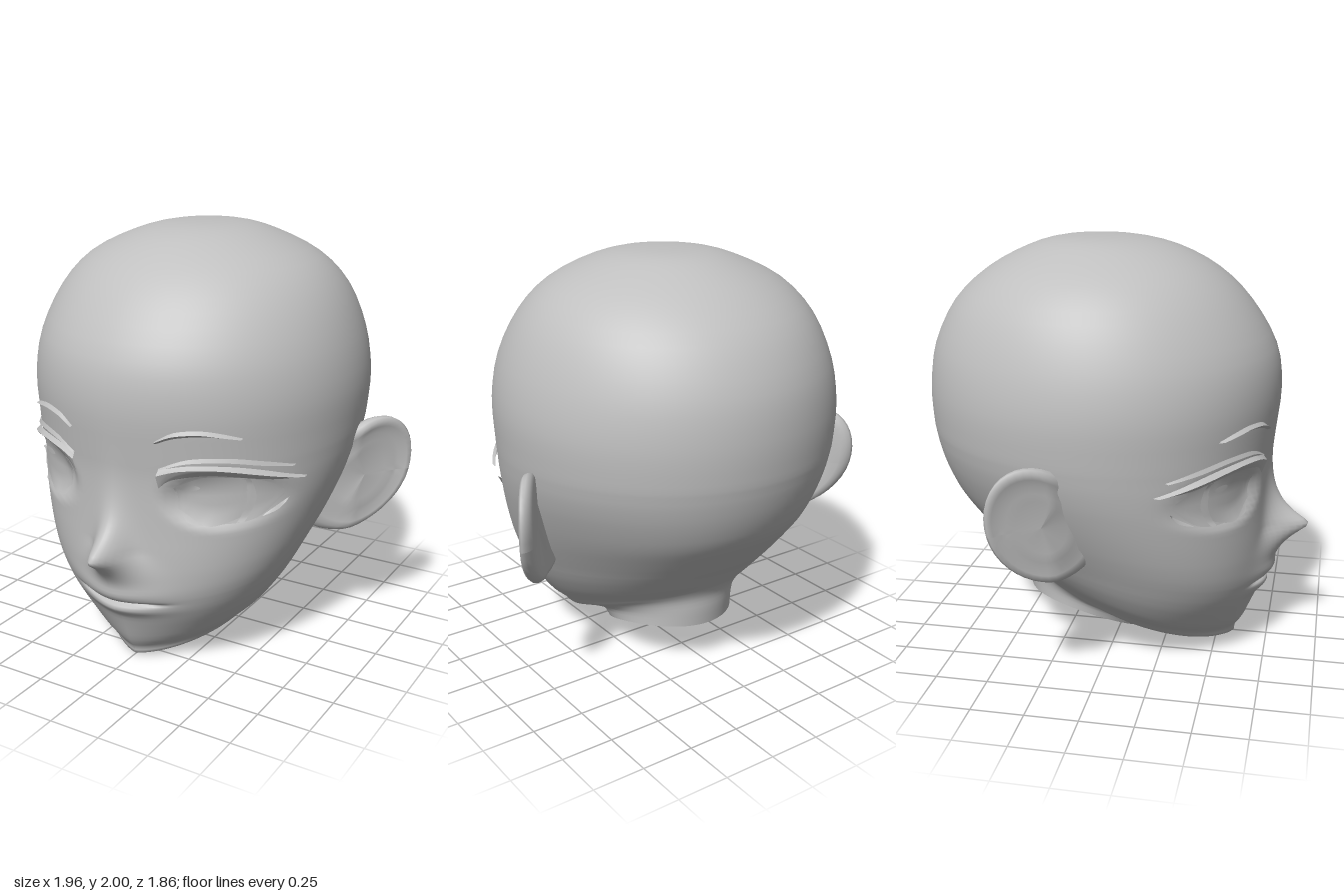
import * as THREE from 'three';

const skin = new THREE.MeshStandardMaterial({ color: 0xc0c0c0, side: THREE.DoubleSide });
skin.name = 'plain grey';

const bell = (d, s) => Math.exp(-(d * d) / (2 * s * s));

// Smooth profile through values given at even heights
function profile(start, step, values) {
  const curve = new THREE.SplineCurve(values.map((v, i) => new THREE.Vector2(i, v)));
  const span = step * (values.length - 1);
  return y => curve.getPoint(THREE.MathUtils.clamp((y - start) / span, 0, 1)).y;
}
const frontZ = profile(0, 0.1,
  [0.57, 0.63, 0.67, 0.705, 0.728, 0.735, 0.735, 0.733, 0.733, 0.735, 0.742, 0.755, 0.768]);
const backZ = profile(0.4, 0.1,
  [-0.495, -0.57, -0.66, -0.745, -0.82, -0.868, -0.9, -0.92, -0.93, -0.93]);
const halfWidth = profile(0.2, 0.1,
  [0.38, 0.49, 0.56, 0.613, 0.66, 0.70, 0.735, 0.765, 0.787, 0.80, 0.81, 0.81]);

// Head sections: front z, front y, back z, back y, half width
const neckRows = [
  [0.20, 0.03, -0.47, 0.22, 0.295], [0.28, 0.06, -0.48, 0.30, 0.305], [0.42, 0.035, -0.485, 0.37, 0.34]
];
const faceRows = [0, 0.04, 0.1, 0.2, 0.27, 0.31, 0.335, 0.355, 0.38, 0.43, 0.5, 0.56, 0.62, 0.68,
  0.75, 0.83, 0.92, 1.0, 1.1].map(fy => {
  const by = 0.42 + 0.65 * fy;
  return [frontZ(fy), fy, backZ(by), by, halfWidth((fy + by) / 2)];
});
const crownRows = [
  [0.775, 1.30, -0.93, 1.30, 0.81], [0.745, 1.50, -0.90, 1.50, 0.775],
  [0.625, 1.70, -0.80, 1.70, 0.69], [0.475, 1.845, -0.645, 1.845, 0.56],
  [0.29, 1.945, -0.46, 1.945, 0.36], [0.10, 1.992, -0.30, 1.992, 0.19], [-0.1, 2.0, -0.1, 2.0, 0]
];

// Nose, lips, mouth crease and recessed eyes, as a forward offset of the face
function relief(x, fy, y) {
  const ax = Math.abs(x), d = fy - 0.615;
  const nose = 0.2 * Math.exp(0.2 - Math.sqrt(d * d + 0.0004) / 0.1)
    * bell(x, 0.054 + 0.35 * Math.max(0, -d));
  const lips = (0.025 * bell(fy - 0.39, 0.03) + 0.025 * bell(fy - 0.305, 0.02)) * bell(x, 0.13);
  const crease = -0.032 * bell(fy - 0.345, 0.006) * Math.exp(-Math.pow(x / 0.2, 4));
  const r2 = ((ax - 0.465) / 0.215) ** 2 + ((y - 0.885) / 0.125) ** 2;
  const eye = -(0.055 - 0.07 * (ax - 0.28)) * Math.exp(-(r2 ** 4));
  return nose + lips + crease + eye;
}

function headGeometry() {
  const rows = [...neckRows, ...faceRows, ...crownRows];
  const columns = rows[0].map((_, c) =>
    new THREE.SplineCurve(rows.map((r, i) => new THREE.Vector2(i, r[c]))));
  const half = 60, around = half * 2, rings = (rows.length - 1) * 3;
  const pos = [], index = [];
  for (let i = 0; i <= rings; i++) {
    const row = i / 3;
    const [fz, fy, bz, by, w] = columns.map(c => c.getPoint(i / rings).y);
    // Pointed sections at the chin, full cheeks, round crown
    const power = 1.04 + 0.42 * (row < 3 ? bell(row - 3, 1.5) : bell(fy, 0.16));
    const cheek = 0.09 * bell(fy - 0.5, 0.35) * THREE.MathUtils.clamp((row - 2) / 3, 0, 1);
    const arch = 0.05 * Math.max(0, 1 - row / 3);
    for (let j = 0; j < around; j++) {
      const u = j / half - 1;
      const a = Math.sign(u) * Math.PI * Math.pow(Math.abs(u), 1.4);
      const c = Math.cos(a), s = Math.abs(Math.sin(a));
      const x = Math.sign(u) * Math.max(0, w) * Math.pow(s, c > 0 ? power : 1);
      const y = (fy + by) / 2 + (fy - by) / 2 * c + arch * s * s;
      let z = (fz + bz) / 2 + (fz - bz) / 2 * c + cheek * Math.pow(s, c > 0 ? 2 : 4);
      if (c > 0 && row > 4) z += relief(x, fy, y);
      pos.push(x, y, z);
      if (i < rings) {
        const k = i * around, n = (j + 1) % around;
        index.push(k + j, k + n, k + around + j, k + n, k + around + n, k + around + j);
      }
    }
  }
  const g = new THREE.BufferGeometry();
  g.setAttribute('position', new THREE.Float32BufferAttribute(pos, 3));
  g.setIndex(index);
  g.computeVertexNormals();
  return g;
}

// Ear: a lathed bowl with a rolled rim, sheared and flared away from the head
function earGeometry() {
  const outline = [[0, -0.012], [0.45, -0.012], [0.6, 0.002], [0.72, -0.004], [0.84, 0.014],
    [0.93, 0.016], [0.985, 0.004], [1, -0.016], [0.975, -0.038], [0.9, -0.052], [0.7, -0.056],
    [0, -0.056]];
  const g = new THREE.LatheGeometry(outline.map(p => new THREE.Vector2(...p)), 40);
  const p = g.attributes.position;
  for (let i = 0; i < p.count; i++) {
    const a = p.getX(i), h = p.getY(i), b = p.getZ(i);
    const z = -0.2 - 0.06 * a - 0.205 * b;
    // The front edge dives into the head
    const out = -0.15 - z;
    const flare = 0.8 + (out > 0 ? 0.65 : 1.3) * out - (a < 0 ? 0.05 * a * a : 0);
    p.setXYZ(i, flare + h, 0.825 + 0.285 * a, z);
  }
  g.computeVertexNormals();
  return g;
}

export function createModel() {
  const model = new THREE.Group();
  model.name = 'head model';
  const add = (parent, geometry, name) => {
    const mesh = new THREE.Mesh(geometry, skin);
    mesh.name = name;
    parent.add(mesh);
    return mesh;
  };
  const head = add(model, headGeometry(), 'head');
  head.updateMatrixWorld(true);

  // Depth of the face surface behind a point of the front plane
  const ray = new THREE.Raycaster();
  const inward = new THREE.Vector3(0, 0, -1);
  const faceZ = (x, y) => {
    ray.set(new THREE.Vector3(x, y, 2), inward);
    const hit = ray.intersectObject(head)[0];
    return hit ? hit.point.z : 0.2;
  };

  // Thin strip laid on the face between two curves; the outer tip can stand off
  const strip = (top, bottom, liftTop, liftBottom, tip = 0, cols = 20, steps = 5) => {
    const curve = pts => new THREE.SplineCurve(pts.map(p => new THREE.Vector2(...p)));
    const t = curve(top), b = curve(bottom);
    const g = new THREE.PlaneGeometry(1, 1, cols, steps), p = g.attributes.position;
    for (let i = 0; i < p.count; i++) {
      const u = p.getX(i) + 0.5, v = 0.5 - p.getY(i);
      const q = t.getPoint(u).lerp(b.getPoint(u), v);
      const lift = THREE.MathUtils.lerp(liftTop, liftBottom, v) * (1 + u * 0.6);
      p.setXYZ(i, q.x, q.y, faceZ(q.x, q.y) + lift + tip * Math.pow(u, 6));
    }
    g.computeVertexNormals();
    return g;
  };

  // Curves for the left eye and brow
  const lashTop = [[0.225, 1.03], [0.35, 1.055], [0.5, 1.05], [0.62, 1.02], [0.735, 0.965]];
  const lashMid = [[0.222, 1.005], [0.32, 1.035], [0.46, 1.04], [0.61, 1.008], [0.735, 0.963]];
  const lashLow = [[0.222, 0.94], [0.28, 0.985], [0.42, 1.005], [0.57, 0.985], [0.735, 0.96]];
  const browTop = [[0.22, 1.165], [0.3, 1.21], [0.4, 1.22], [0.48, 1.205], [0.55, 1.18]];
  const browMid = [[0.22, 1.16], [0.3, 1.195], [0.4, 1.205], [0.48, 1.193], [0.55, 1.178]];
  const browLow = [[0.22, 1.152], [0.3, 1.182], [0.4, 1.193], [0.48, 1.185], [0.55, 1.176]];
  const parts = {
    eyeWhite: strip(
      [[0.275, 0.94], [0.35, 0.99], [0.5, 0.99], [0.6, 0.97], [0.665, 0.92]],
      [[0.28, 0.9], [0.33, 0.785], [0.45, 0.77], [0.58, 0.79], [0.665, 0.89]], 0.008, 0.008),
    iris: strip(
      [[0.285, 0.95], [0.42, 1.0], [0.55, 0.98]],
      [[0.29, 0.84], [0.42, 0.765], [0.55, 0.81]], 0.014, 0.014),
    irisRim: strip(
      [[0.535, 0.985], [0.55, 0.88], [0.52, 0.78]],
      [[0.565, 0.985], [0.58, 0.88], [0.545, 0.78]], 0.019, 0.019),
    upperLash: strip(lashTop, lashMid, 0.005, 0.026, 0.04),
    upperLashUnderside: strip(lashMid, lashLow, 0.026, 0.008, 0.04),
    eyelidFold: strip(
      [[0.225, 1.035], [0.35, 1.085], [0.5, 1.088], [0.62, 1.06], [0.7, 1.025]],
      [[0.23, 1.03], [0.35, 1.068], [0.5, 1.07], [0.62, 1.043], [0.7, 1.02]], 0.003, 0.013),
    lowerLash: strip(
      [[0.6, 0.8], [0.64, 0.835], [0.685, 0.875]],
      [[0.6, 0.795], [0.65, 0.82], [0.685, 0.87]], 0.008, 0.016, 0.02, 8, 1),
    brow: strip(browTop, browMid, 0.003, 0.018),
    browUnderside: strip(browMid, browLow, 0.018, 0.002),
    ear: earGeometry()
  };

  // Both sides of the face
  for (const [side, sign] of [['left', 1], ['right', -1]]) {
    const group = new THREE.Group();
    group.name = side + ' side';
    group.scale.x = sign;
    for (const name in parts) add(group, parts[name], name);
    // Eye highlight, on the same side of both irises
    const cx = sign > 0 ? 0.335 : 0.49;
    const arc = k => [-0.048, -0.03, 0, 0.03, 0.048].map((x, i) =>
      [cx + x, 0.943 + k * [0, 0.011, 0.015, 0.011, 0][i]]);
    add(group, strip(arc(1), arc(-1), 0.019, 0.019, 0, 10, 2), 'eyeHighlight');
    model.add(group);
  }
  return model;
}
